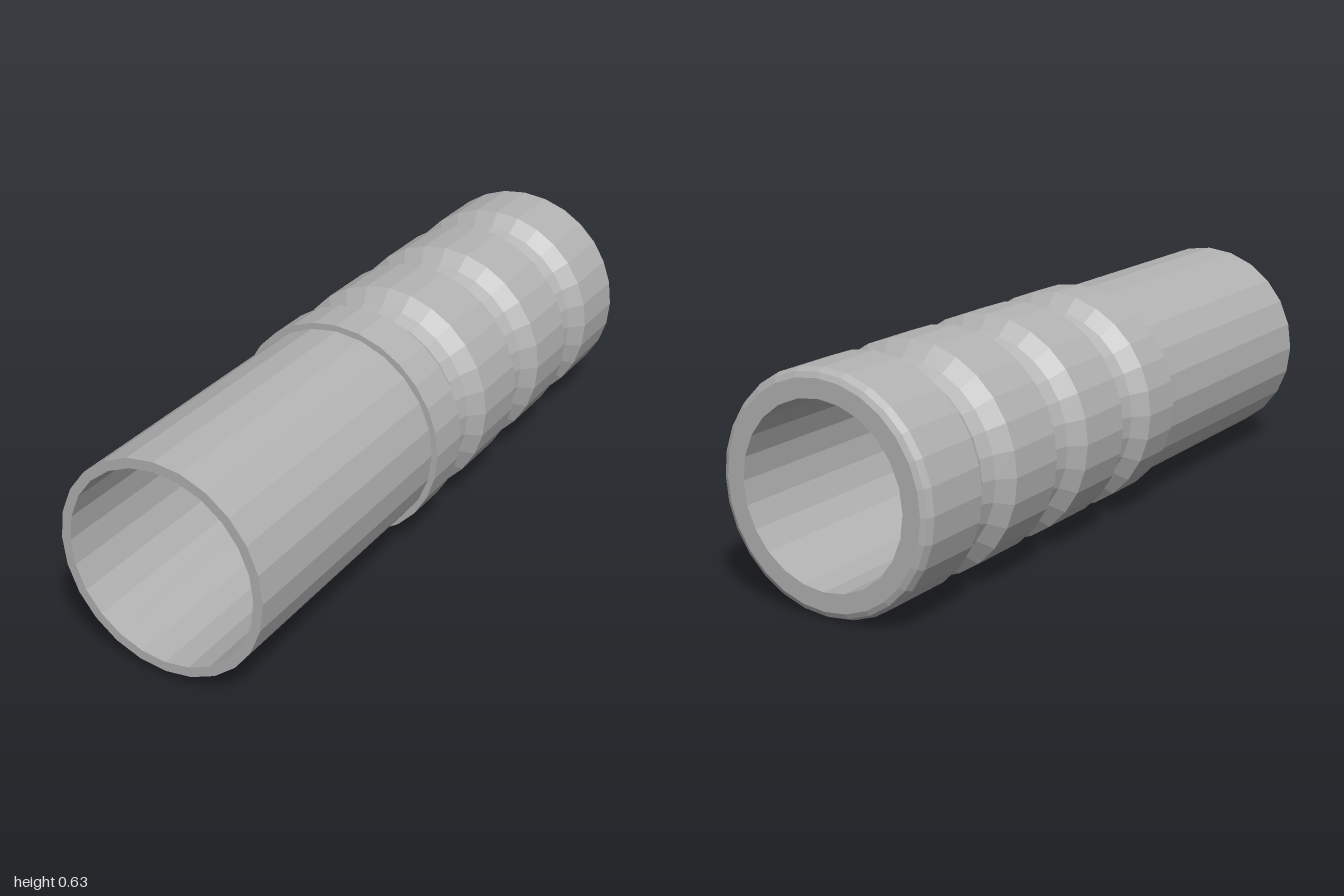
import * as THREE from 'three';

const OUTER_SIDES = 28, BORE_SIDES = 24;
const BORE = 0.241, SLEEVE = 0.314, RIM = 0.291, SLEEVE_FRONT = 0.178;

// Faceted normals for every face
function faceted(geometry) {
  const flat = geometry.index ? geometry.toNonIndexed() : geometry;
  flat.computeVertexNormals();
  return flat;
}

// Revolve [z, radius] pairs round the z axis; outer walls run from -z to +z
function revolve(profile, sides) {
  const points = profile.map(([z, r]) => new THREE.Vector2(r, z));
  return faceted(new THREE.LatheGeometry(points, sides).rotateX(Math.PI / 2));
}

function polygon(radius, sides) {
  return Array.from({ length: sides }, (_, i) => {
    const a = (i / sides) * Math.PI * 2;
    return new THREE.Vector2(radius * Math.cos(a), radius * Math.sin(a));
  });
}

// Flat annular face between the outer wall and the bore
function endFace(radius) {
  const shape = new THREE.Shape(polygon(radius, OUTER_SIDES));
  shape.holes.push(new THREE.Path(polygon(BORE, BORE_SIDES)));
  return faceted(new THREE.ShapeGeometry(shape));
}

export function createModel() {
  const group = new THREE.Group();
  const metal = new THREE.MeshStandardMaterial({ color: 0xb2b2b2 });
  metal.name = 'grey metal';

  const add = (name, geometry) => {
    const mesh = new THREE.Mesh(geometry, metal);
    mesh.name = name;
    mesh.position.y = SLEEVE;
    group.add(mesh);
  };

  // Grip sleeve: rounded back rim and three rounded grooves
  const sleeve = [[-1, RIM], [-0.993, 0.305], [-0.975, SLEEVE]];
  for (const z of [-0.705, -0.368, -0.031]) {
    sleeve.push([z - 0.076, SLEEVE], [z - 0.04, 0.274], [z, 0.261],
      [z + 0.04, 0.274], [z + 0.076, SLEEVE]);
  }
  sleeve.push([SLEEVE_FRONT, SLEEVE]);
  add('gripSleeve', revolve(sleeve, OUTER_SIDES));

  // Bore wall, facing the axis
  add('sleeveBore', revolve([[SLEEVE_FRONT, BORE], [-1, BORE]], BORE_SIDES));

  // Sleeve end faces
  add('sleeveFrontFace', endFace(SLEEVE).translate(0, 0, SLEEVE_FRONT));
  add('sleeveBackFace', endFace(RIM).rotateY(Math.PI).translate(0, 0, -1));

  // Thin-walled front tube
  add('frontTube', revolve(
    [[SLEEVE_FRONT, 0.297], [1, 0.297], [1, 0.27], [SLEEVE_FRONT, 0.27]], BORE_SIDES));

  return group;
}
